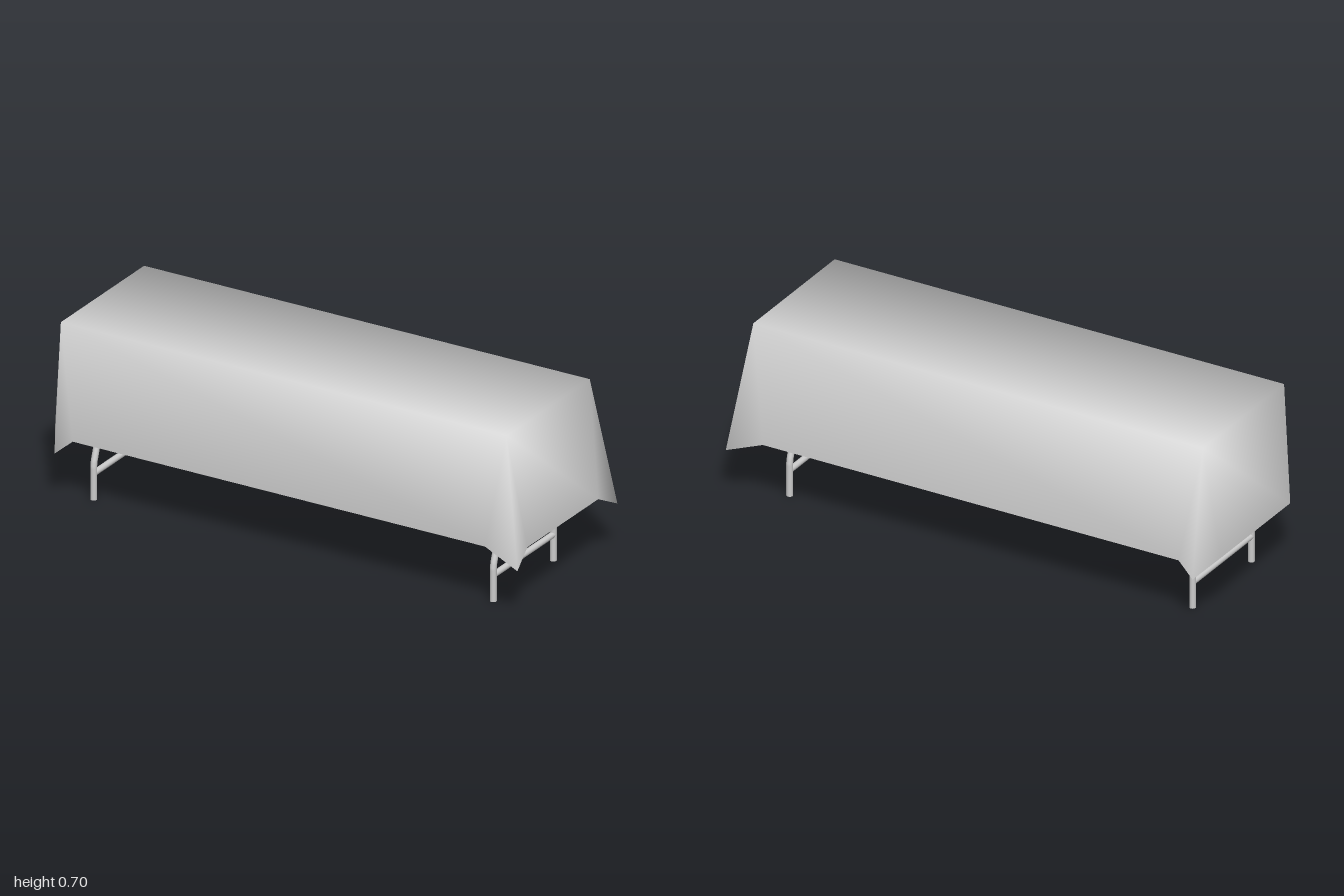
import * as THREE from 'three';

const grey = new THREE.MeshStandardMaterial({ color: 0xcccccc });
const clothGrey = new THREE.MeshStandardMaterial({ color: 0xcccccc, side: THREE.DoubleSide });

// Draped cloth: a flat top, four hanging panels and a flared fold at each corner.
// Each corner lists its top point and three hem points, counter-clockwise from above.
function makeCloth() {
  const top = 0.705, hem = 0.26, tip = 0.205;
  const corners = [
    { top: [-0.945, 0.3], hem: [[-1, 0.25], [-0.945, 0.343], [-0.88, 0.325]] },
    { top: [0.925, 0.3], hem: [[0.85, 0.325], [0.997, 0.343], [0.982, 0.25]] },
    { top: [0.925, -0.27], hem: [[0.982, -0.235], [0.997, -0.342], [0.85, -0.33]] },
    { top: [-0.945, -0.27], hem: [[-0.88, -0.33], [-0.945, -0.342], [-1, -0.235]] },
  ];
  const points = [];
  corners.forEach((c) => {
    points.push(c.top[0], top, c.top[1]);
    c.hem.forEach(([x, z], j) => points.push(x, j === 1 ? tip : hem, z));
  });
  const faces = [0, 4, 8, 0, 8, 12];
  for (let k = 0; k < 4; k++) {
    const a = 4 * k, b = 4 * ((k + 1) % 4);
    faces.push(a, a + 1, a + 2, a, a + 2, a + 3); // corner fold
    faces.push(a, a + 3, b + 1, a, b + 1, b); // hanging panel
  }
  const geometry = new THREE.BufferGeometry();
  geometry.setAttribute('position', new THREE.Float32BufferAttribute(points, 3));
  geometry.setIndex(faces);
  geometry.computeVertexNormals();
  const cloth = new THREE.Mesh(geometry, clothGrey);
  cloth.name = 'tablecloth';
  return cloth;
}

// Bent tube leg: upright foot, inward lean, upright upper part
function makeLeg(name, zFoot, zTop) {
  const path = new THREE.CurvePath();
  const pts = [[0, zFoot], [0.13, zFoot], [0.15, zFoot + (zTop - zFoot) * 0.07],
    [0.28, zTop - (zTop - zFoot) * 0.07], [0.3, zTop], [0.7, zTop]]
    .map(([y, z]) => new THREE.Vector3(0, y, z));
  for (let i = 1; i < pts.length; i++) path.add(new THREE.LineCurve3(pts[i - 1], pts[i]));
  const leg = new THREE.Group();
  leg.name = name;
  const tube = new THREE.Mesh(new THREE.TubeGeometry(path, 70, 0.0125, 16), grey);
  tube.name = 'legTube';
  const foot = new THREE.Mesh(new THREE.CircleGeometry(0.0125, 16), grey);
  foot.name = 'footCap';
  foot.rotation.x = Math.PI / 2;
  foot.position.z = zFoot;
  leg.add(tube, foot);
  return leg;
}

// A pair of legs joined by a low crossbar
function makeLegFrame(name, x) {
  const front = 0.222, back = -0.189;
  const frame = new THREE.Group();
  frame.name = name;
  frame.position.x = x;
  const bar = new THREE.Mesh(new THREE.CylinderGeometry(0.0118, 0.0118, front - back, 16), grey);
  bar.name = 'crossbar';
  bar.rotation.x = Math.PI / 2;
  bar.position.set(0, 0.102, (front + back) / 2);
  frame.add(makeLeg('frontLeg', front, 0.17), makeLeg('backLeg', back, -0.137), bar);
  return frame;
}

export function createModel() {
  const table = new THREE.Group();
  table.name = 'coveredTable';
  table.add(makeCloth(), makeLegFrame('leftLegFrame', 0.822), makeLegFrame('rightLegFrame', -0.855));
  return table;
}
